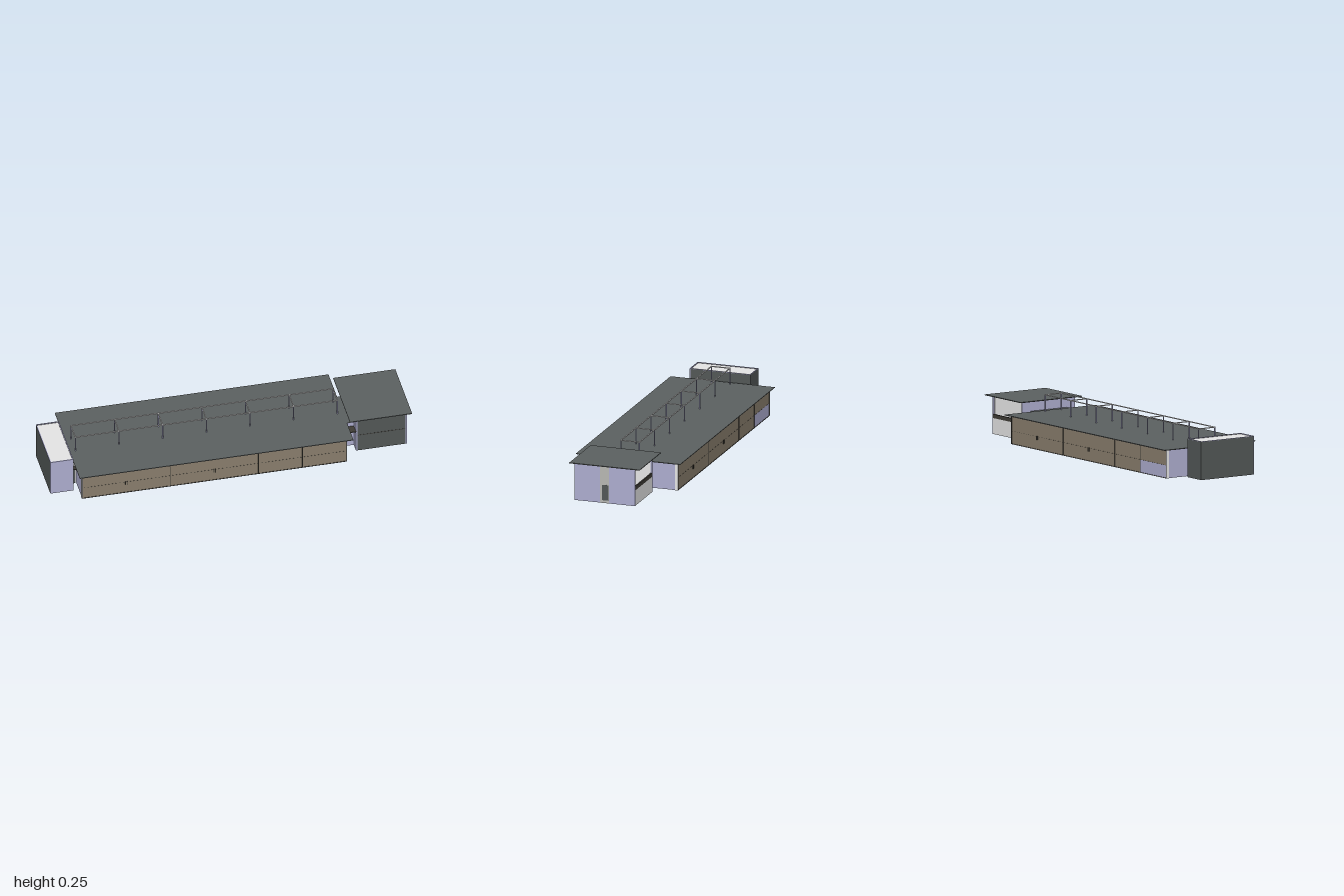
import * as THREE from 'three';

const mat = (name, color) => {
  const m = new THREE.MeshStandardMaterial({ color });
  m.name = name;
  return m;
};

export function createModel() {
  const slate = mat('slate roof', 0x5c6161);
  const dark = mat('dark cladding', 0x535857);
  const trim = mat('dark trim', 0x3f3c36);
  const brown = mat('brown panel', 0x8a7f6e);
  const lavender = mat('lavender render', 0xaeaed0);
  const pale = mat('pale plaster', 0xe6e6e6);
  const concrete = mat('grey concrete', 0xb8b8b4);

  const model = new THREE.Group();
  model.name = 'building';
  // the whole plan is turned slightly
  model.rotation.y = 0.2304;

  // box given by its extents on x, y and z
  const box = (parent, name, m, x0, x1, y0, y1, z0, z1) => {
    const mesh = new THREE.Mesh(new THREE.BoxGeometry(x1 - x0, y1 - y0, z1 - z0), m);
    mesh.position.set((x0 + x1) / 2, (y0 + y1) / 2, (z0 + z1) / 2);
    mesh.name = name;
    parent.add(mesh);
  };
  const group = (name) => {
    const g = new THREE.Group();
    g.name = name;
    model.add(g);
    return g;
  };

  // ---- long hall ----
  const hall = group('longHall');
  const X0 = -0.828, X1 = 0.61, ZB = -0.297, ZF = 0.246, H = 0.152, T = 0.014;
  box(hall, 'hallRoof', slate, -0.847, 0.642, H, 0.1555, -0.319, 0.268);
  box(hall, 'floorStrip', concrete, X0 + T, X1 - T, 0, 0.005, ZB + T, -0.17);

  // panelled long walls, six bays each; sliding joints carry a pull handle
  const bays = 6, step = (X1 - X0) / bays;
  for (const side of [1, -1]) {
    const out = side > 0 ? ZF : ZB;
    const joints = side > 0 ? [1, 3] : [3, 5];
    const zs = (a, b) => [out - side * a, out - side * b].sort((p, q) => p - q);
    for (let i = 0; i < bays; i++) {
      const a = X0 + i * step, b = a + step;
      const low = side < 0 && i === 0 ? lavender : brown;
      box(hall, 'lowerPanel', low, a, b, 0.003, 0.07, ...zs(0.002, T - 0.002));
      box(hall, 'upperPanel', brown, a, b, 0.07, H, ...zs(0.002, T - 0.002));
    }
    for (let i = 0; i <= bays; i++) {
      const c = Math.min(Math.max(X0 + i * step, X0 + 0.0015), X1 - 0.0015);
      if (joints.includes(i)) {
        for (const s of [-1, 1]) {
          const h = c + s * 0.005;
          box(hall, 'pullHandle', trim, h - 0.001, h + 0.001, 0.052, 0.074, ...zs(-0.002, 0.002));
        }
      } else {
        box(hall, 'mullion', trim, c - 0.0015, c + 0.0015, 0, H, ...zs(0, T));
      }
    }
    box(hall, 'midRail', trim, X0, X1, 0.0695, 0.0705, ...zs(0.0015, T - 0.0015));
    box(hall, 'baseRail', trim, X0, X1, 0, 0.003, ...zs(0, T));
    // pale ends of the long walls
    box(hall, 'wallEnd', pale, X1, X1 + 0.003, 0, H, ...zs(0, T + 0.002));
    box(hall, 'wallEnd', pale, X0 - 0.003, X0, 0, H, ...zs(0, T + 0.002));
  }

  // end walls, coloured outside and pale inside
  const endWalls = [[X0, 1], [X1, -1]];
  for (const [x, d] of endWalls) {
    const xs = (a, b) => [x + d * a, x + d * b].sort((p, q) => p - q);
    box(hall, 'endWall', lavender, ...xs(0, 0.007), 0, H, ZB + T, ZF - T);
    box(hall, 'endWallLining', pale, ...xs(0.007, 0.011), 0, H, ZB + T, ZF - T);
  }

  // ---- low links between the hall and its end blocks ----
  const links = group('links');
  box(links, 'rightLinkFront', lavender, X1, 0.685, 0, 0.15, 0.105, 0.112);
  box(links, 'rightLinkBack', lavender, X1, 0.685, 0, 0.15, -0.122, -0.115);
  box(links, 'rightLinkCanopy', trim, X1, 0.685, 0.123, 0.127, 0.112, 0.165);
  box(links, 'rightLinkRoof', slate, X1, 0.685, 0.147, 0.152, -0.122, 0.112);
  box(links, 'leftLinkWall', pale, -0.86, X0, 0, 0.15, -0.1, 0.1);
  box(links, 'leftLinkDoor', dark, -0.857, X0 - 0.008, 0, 0.09, 0.1, 0.104);
  box(links, 'leftLinkCanopy', trim, -0.86, X0, 0.108, 0.112, 0.1, 0.13);

  // ---- tall block with an overhanging roof ----
  const tall = group('roofedBlock');
  const B0 = 0.68, B1 = 0.957, BB = -0.177, BF = 0.164, BH = 0.207, W = 0.008;
  box(tall, 'blockRoof', slate, 0.643, 0.981, BH, 0.211, -0.212, 0.184);
  box(tall, 'frontWall', dark, B0 + W, B1 - W, 0, BH, BF - W, BF);
  box(tall, 'frontWallSeam', trim, B0 + W, B1 - W, 0.1, 0.102, BF, BF + 0.001);
  box(tall, 'frontWallLining', pale, B0 + W, B1 - W, 0.004, BH, BF - W - 0.003, BF - W);
  box(tall, 'outerWall', lavender, B1 - W, B1, 0, BH, BB, BF);
  box(tall, 'outerWallLining', pale, B1 - W - 0.003, B1 - W, 0.004, BH, BB + W, BF - W);
  box(tall, 'innerWall', lavender, B0, B0 + W, 0, BH, BB, BF);
  box(tall, 'innerWallLining', pale, B0 + W, B0 + W + 0.003, 0.004, BH, BB + W, BF - W);
  box(tall, 'blockFloor', concrete, B0 + W, B1 - W, 0, 0.004, BB + W, BF - W);
  // back wall: solid below, dark sill, open window above
  box(tall, 'backWallLower', pale, B0 + W, B1 - W, 0, 0.085, BB, BB + W);
  box(tall, 'backWallSill', trim, B0 + W, B1 - W, 0.085, 0.106, BB, BB + W);
  box(tall, 'windowHead', pale, B0 + W, B1 - W, 0.199, BH, BB, BB + W);
  // tall strip with a dark door leaf in the outer wall
  box(tall, 'doorStrip', concrete, B1, B1 + 0.001, 0, BH, -0.032, 0.018);
  box(tall, 'doorLeaf', dark, B1 + 0.001, B1 + 0.002, 0.015, 0.1, -0.028, 0.006);

  // ---- small flat-topped block ----
  const small = group('flatBlock');
  const S0 = -0.983, S1 = -0.858, SB = -0.178, SF = 0.164, SH = 0.204, R = 0.005;
  box(small, 'outerSide', dark, S0, S0 + R, 0, SH, SB, SF - R);
  box(small, 'innerSide', dark, S1 - R, S1, 0, SH, SB, SF - R);
  box(small, 'backSide', dark, S0 + R, S1 - R, 0, SH, SB, SB + R);
  box(small, 'frontSide', lavender, S0, S1, 0, SH, SF - R, SF);
  box(small, 'flatTop', pale, S0 + R, S1 - R, 0.196, 0.203, SB + R, SF - R);
  box(small, 'smallBlockFloor', concrete, S0 + R, S1 - R, 0, 0.005, SB + R, SF - R);
  // lavender rim around the top
  for (const x of [S0, S1 - R]) box(small, 'rim', lavender, x, x + R, SH, SH + 0.003, SB, SF);
  for (const z of [SB, SF - R]) box(small, 'rim', lavender, S0 + R, S1 - R, SH, SH + 0.003, z, z + R);

  // ---- frame of posts and rails on the hall roof ----
  const frame = group('roofFrame');
  const F0 = -0.815, F1 = 0.61, r = 0.0025, top = 0.247;
  const rows = [-0.078, 0.026];
  for (const z of rows) box(frame, 'rail', pale, F0 - r, F1 + r, top - 2 * r, top, z - r, z + r);
  for (let i = 0; i < 7; i++) {
    const x = F0 + ((F1 - F0) * i) / 6;
    for (const z of rows) box(frame, 'post', lavender, x - r, x + r, 0.1555, top - 2 * r, z - r, z + r);
    box(frame, 'crossBar', pale, x - r, x + r, top - 2 * r, top, rows[0] + r, rows[1] - r);
  }

  const root = new THREE.Group();
  root.name = 'model';
  root.add(model);
  return root;
}
